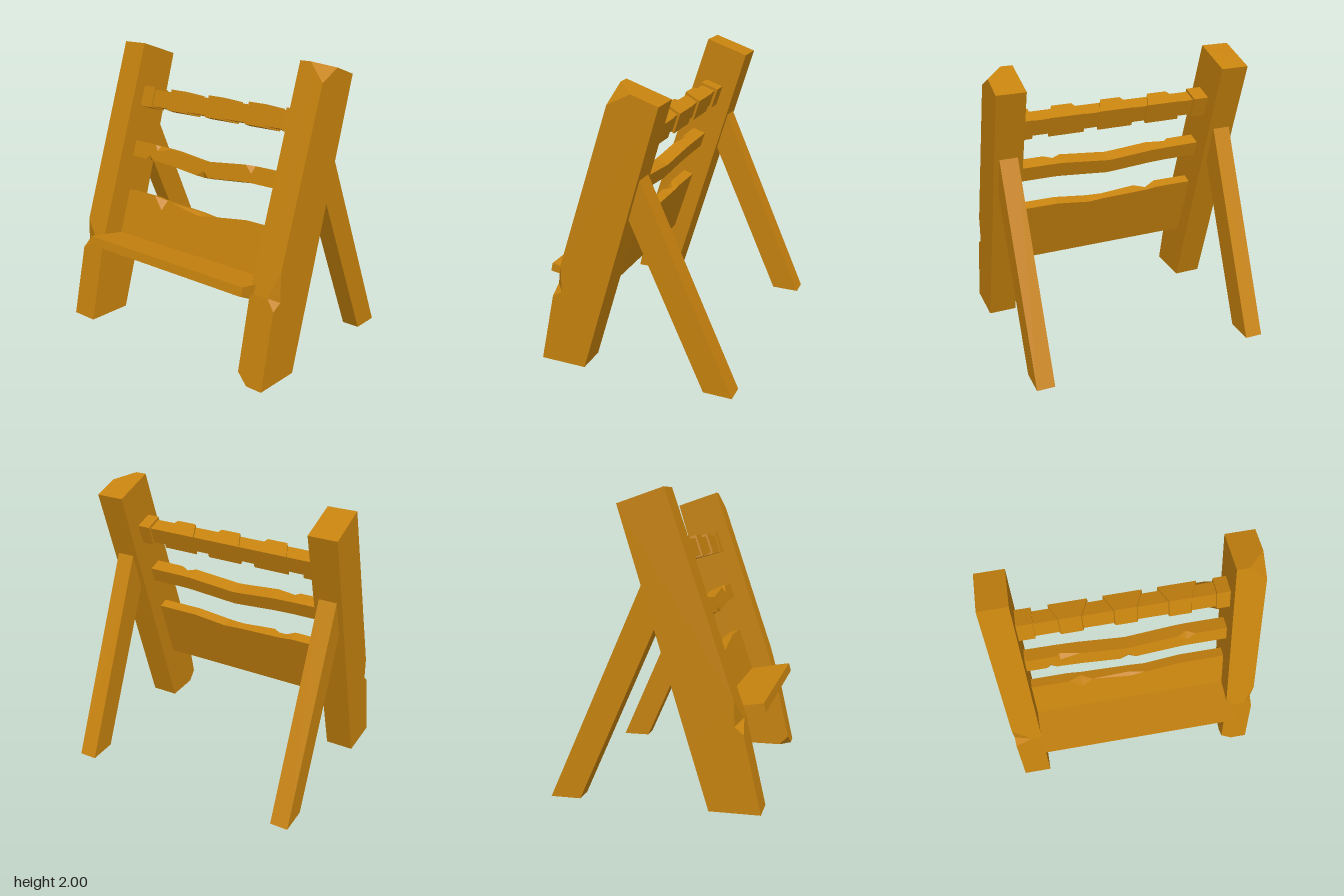
import * as THREE from 'three';
import { ConvexGeometry } from 'three/addons/geometries/ConvexGeometry.js';

const LEAN = 0.32;

export function createModel() {
  const model = new THREE.Group();
  const wood = new THREE.MeshStandardMaterial({ color: 0xc6820e });
  wood.name = 'wood';

  const add = (name, geometry, parent = model) => {
    const mesh = new THREE.Mesh(geometry, wood);
    mesh.name = name;
    parent.add(mesh);
    return mesh;
  };
  const hull = (points) => new ConvexGeometry(points.map((p) => new THREE.Vector3(...p)));
  // Prism along x from a convex [z, y] outline
  const prism = (outline, x0, x1) =>
    hull(outline.flatMap(([z, y]) => [[x0, y, z], [x1, y, z]]));
  // Group tilted back like the posts, its origin on the part's upper front edge
  const tilted = (name, y, z) => {
    const group = new THREE.Group();
    group.name = name;
    group.position.set(0, y, z);
    group.rotation.x = -LEAN;
    model.add(group);
    return group;
  };

  // Hewn board from stations [x, top, bottom, upper chip, lower chip]
  const board = (stations, depth) => {
    const sections = stations.map(([x, top, bottom, ct, cb]) => [
      [x, top, -depth], [x, top, -ct * 0.6], [x, top - ct, 0],
      [x, bottom + cb, 0], [x, bottom, -cb * 0.6], [x, bottom, -depth],
    ]);
    const pos = [];
    const tri = (a, b, c) => pos.push(...a, ...b, ...c);
    const n = 6;
    for (let i = 0; i < sections.length - 1; i++) {
      const s = sections[i], t = sections[i + 1];
      for (let j = 0; j < n; j++) {
        const k = (j + 1) % n;
        tri(s[j], s[k], t[k]);
        tri(s[j], t[k], t[j]);
      }
    }
    const first = sections[0], last = sections[sections.length - 1];
    for (let j = 1; j < n - 1; j++) {
      tri(last[0], last[j], last[j + 1]);
      tri(first[0], first[j + 1], first[j]);
    }
    const geometry = new THREE.BufferGeometry();
    geometry.setAttribute('position', new THREE.Float32BufferAttribute(pos, 3));
    geometry.computeVertexNormals();
    return geometry;
  };

  // Posts: two convex halves meeting at the notch on the outer front edge
  const post = (name, side, notch, topCorner, footCorner) => {
    const group = new THREE.Group();
    group.name = name;
    model.add(group);
    const half = (pts) => hull(pts.map(([x, y, z]) => [x * side, y, z]));
    const seam = [
      [0.7, 0.39, 0.251], [0.9, 0.39, 0.251], [0.7, 0.58, 0.57],
      [notch.tip, 0.58, 0.57], [0.9, 0.55, notch.depth],
    ];
    const frontZ = (y) => (y > 0.58 ? 0.57 - 0.338 * (y - 0.58) : 0.7 - 0.224 * y);
    add('upperPost', half([
      ...seam, [0.9, notch.high, frontZ(notch.high)],
      [0.7, 2, 0.09], [0.7, 1.9, -0.21], [0.9, 1.9, -0.21], ...topCorner,
    ]), group);
    add('lowerPost', half([
      ...seam, [0.9, notch.low, frontZ(notch.low)],
      [0.9, 0, 0.7], [0.7, 0, 0.37], [0.9, 0, 0.37], ...footCorner,
    ]), group);
  };
  post('leftPost', 1, { tip: 0.84, depth: 0.515, high: 0.75, low: 0.51 },
    [[0.78, 2, 0.09], [0.9, 1.96, -0.03], [0.9, 1.88, 0.13]],
    [[0.78, 0, 0.7], [0.7, 0.07, 0.684], [0.7, 0, 0.62]]);
  post('rightPost', -1, { tip: 0.77, depth: 0.53, high: 0.71, low: 0.5 },
    [[0.9, 2, 0.09]], [[0.7, 0, 0.7]]);

  // Rear braces
  for (const side of [1, -1]) {
    add(side > 0 ? 'leftBrace' : 'rightBrace', prism(
      [[-0.06, 1.42], [0.02, 1.14], [-0.49, 0], [-0.69, 0]], side * 0.738, side * 0.865));
  }

  // Shelf
  add('shelf', prism([[0.68, 0.66], [0.695, 0.6], [0.38, 0.55], [0.365, 0.61]], -0.7, 0.73));

  // Back panel
  add('panel', board([
    [-0.7, 0, -0.5, 0, 0], [-0.63, 0, -0.5, 0, 0], [-0.59, 0, -0.5, 0, 0.04],
    [-0.54, 0, -0.5, 0, 0.01], [-0.43, 0, -0.5, 0, 0.017], [-0.34, -0.012, -0.5, 0.075, 0.027],
    [-0.26, -0.015, -0.5, 0, 0.035], [0.01, -0.025, -0.5, 0.03, 0.06],
    [0.13, -0.035, -0.5, 0, 0.045], [0.38, 0, -0.5, 0, 0.02], [0.48, 0, -0.5, 0, 0.01],
    [0.56, 0, -0.5, 0, 0.08], [0.65, 0, -0.5, 0, 0], [0.7, 0, -0.5, 0, 0],
  ], 0.075), tilted('backPanel', 0.925, 0.285));

  // Middle rail
  add('rail', board([
    [-0.7, 0, -0.116, 0, 0], [-0.56, -0.002, -0.117, 0, 0], [-0.53, -0.003, -0.118, 0, 0.035],
    [-0.49, -0.003, -0.118, 0, 0], [-0.46, -0.004, -0.118, 0.04, 0],
    [-0.32, -0.01, -0.125, 0, 0], [-0.05, -0.038, -0.15, 0, 0],
    [0.01, -0.042, -0.155, 0, 0.045], [0.06, -0.036, -0.15, 0, 0],
    [0.36, -0.003, -0.12, 0, 0], [0.42, 0, -0.116, 0.055, 0],
    [0.48, 0, -0.116, 0, 0], [0.7, 0, -0.116, 0, 0],
  ], 0.1), tilted('middleRail', 1.29, 0.205));

  // Top bar with wedge-shaped wrappings
  const bar = tilted('topBar', 1.69, 0.1);
  add('barCore', prism([[-0.012, -0.018], [-0.012, -0.142], [-0.118, -0.142], [-0.118, -0.018]],
    -0.7, 0.7), bar);
  const wrap = (x, front, back) => add('barWrap', hull([0, -0.153].flatMap((y) => [
    [x - front, y, 0], [x + front, y, 0], [x - back, y, -0.137], [x + back, y, -0.137],
  ])), bar);
  for (const x of [-0.35, 0.01, 0.37]) wrap(x, 0.073, 0.13);
  wrap(-0.645, 0.055, 0.055);
  wrap(0.655, 0.045, 0.045);

  return model;
}
